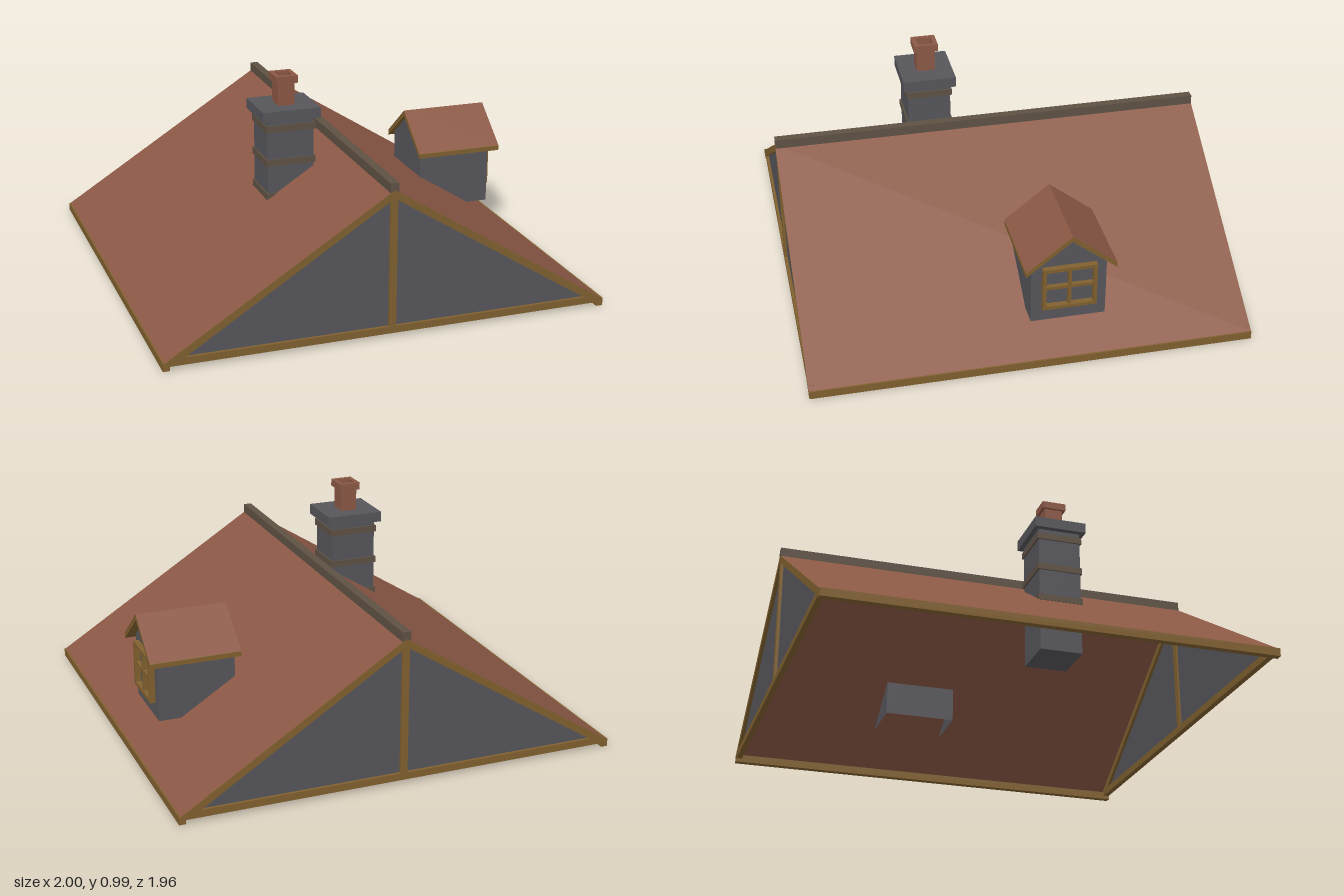
import * as THREE from 'three';

const mat = (name, color, side = THREE.FrontSide) => {
  const m = new THREE.MeshStandardMaterial({ color, side });
  m.name = name;
  return m;
};

export function createModel() {
  const tile = mat('clay tile', 0x8b5845, THREE.DoubleSide);
  const wall = mat('slate grey', 0x56565b, THREE.DoubleSide);
  const wood = mat('timber', 0x80602f);
  const trim = mat('ridge brown', 0x5e5144);

  const model = new THREE.Group();
  model.name = 'houseRoof';

  const add = (parent, name, geometry, material) => {
    const mesh = new THREE.Mesh(geometry, material);
    mesh.name = name;
    parent.add(mesh);
    return mesh;
  };
  // box given by its minimum and maximum corners
  const box = (parent, name, material, [x0, y0, z0], [x1, y1, z1]) => {
    const g = new THREE.BoxGeometry(x1 - x0, y1 - y0, z1 - z0);
    g.translate((x0 + x1) / 2, (y0 + y1) / 2, (z0 + z1) / 2);
    return add(parent, name, g, material);
  };
  const polygon = (points) => new THREE.Shape(points.map(([x, y]) => new THREE.Vector2(x, y)));
  const extrude = (shape, depth) => new THREE.ExtrudeGeometry(shape, { depth, bevelEnabled: false });
  // flat four-cornered sheet
  const sheet = (a, b, c, d) => {
    const g = new THREE.BufferGeometry();
    g.setAttribute('position', new THREE.Float32BufferAttribute([a, b, c, a, c, d].flat(), 3));
    g.computeVertexNormals();
    return g;
  };

  // main roof slopes and eaves beams
  const L = 0.98;
  for (const s of [1, -1]) {
    const side = s > 0 ? 'left' : 'right';
    const slope = sheet([0, 0.662, s * L], [s * 0.992, 0.035, s * L],
      [s * 0.992, 0.035, -s * L], [0, 0.662, -s * L]);
    add(model, side + 'RoofSlope', slope, tile);
    const eaves = new THREE.BoxGeometry(0.03, 0.036, 2 * L);
    eaves.translate(s * 0.983, 0.018, 0);
    add(model, side + 'EavesBeam', eaves, wood);
  }
  box(model, 'ridge', trim, [-0.019, 0.65, -L], [0.019, 0.692, L]);

  // gable ends with timber frame
  const gableShape = polygon([[-0.97, 0.03], [0.97, 0.03], [0, 0.645]]);
  const rakeShape = polygon([[-0.998, 0.03], [-0.985, 0.01], [-0.93, 0.035], [0, 0.625],
    [0.93, 0.035], [0.985, 0.01], [0.998, 0.03], [0, 0.661]]);
  for (const s of [1, -1]) {
    const gable = new THREE.Group();
    gable.name = s > 0 ? 'frontGable' : 'backGable';
    gable.rotation.y = s > 0 ? 0 : Math.PI;
    model.add(gable);
    add(gable, 'gablePanel', new THREE.ShapeGeometry(gableShape), wall).position.z = 0.965;
    add(gable, 'rakeBeams', extrude(rakeShape, 0.03), wood).position.z = 0.951;
    box(gable, 'tieBeam', wood, [-0.97, 0.018, 0.953], [0.97, 0.05, 0.979]);
    box(gable, 'kingPost', wood, [-0.016, 0.04, 0.955], [0.016, 0.64, 0.978]);
  }

  // chimney
  const chimney = new THREE.Group();
  chimney.name = 'chimney';
  chimney.position.set(-0.24, 0, 0.247);
  model.add(chimney);
  const block = (name, material, hx, hz, y0, y1) =>
    box(chimney, name, material, [-hx, y0, -hz], [hx, y1, hz]);
  block('shaft', wall, 0.107, 0.099, 0.2, 0.81);
  for (const y of [0.44, 0.595, 0.75]) block('band', trim, 0.114, 0.106, y, y + 0.03);
  block('cap', wall, 0.133, 0.122, 0.802, 0.85);
  // hollow square pot and rim
  const tube = (name, hx, hz, y0, y1) => {
    const rect = (x, z) => [[-x, -z], [x, -z], [x, z], [-x, z]];
    const shape = polygon(rect(hx, hz));
    shape.holes.push(polygon(rect(0.031, 0.034)));
    const g = extrude(shape, y1 - y0);
    g.rotateX(-Math.PI / 2);
    add(chimney, name, g, tile).position.y = y0;
  };
  tube('pot', 0.038, 0.043, 0.85, 0.955);
  tube('potRim', 0.05, 0.056, 0.952, 0.985);

  // dormer, centred on its own ridge line
  const dormer = new THREE.Group();
  dormer.name = 'dormer';
  dormer.position.z = -0.168;
  model.add(dormer);
  const W = 0.166, x0 = 0.53, x1 = 0.883, low = 0.167, top = 0.46;
  const endShape = polygon([[-W, low], [W, low], [W, top], [0, 0.592], [-W, top]]);
  for (const [name, x] of [['dormerFront', x1], ['dormerBack', x0]]) {
    const g = new THREE.ShapeGeometry(endShape);
    g.rotateY(x === x1 ? Math.PI / 2 : -Math.PI / 2);
    add(dormer, name, g, wall).position.x = x;
  }
  for (const s of [1, -1]) {
    const cheek = [[x0, low, s * W], [x1, low, s * W], [x1, top, s * W], [x0, top, s * W]];
    if (s < 0) cheek.reverse();
    add(dormer, 'dormerCheek', sheet(...cheek), wall);
    const tiles = sheet([0.51, 0.615, 0], [0.51, 0.456, s * 0.2], [0.925, 0.456, s * 0.2], [0.925, 0.615, 0]);
    if (s < 0) tiles.scale(1, 1, 1).index = null;
    // wind the far slope so that it faces upwards
    const geo = s > 0 ? tiles : sheet([0.925, 0.615, 0], [0.925, 0.456, -0.2], [0.51, 0.456, -0.2], [0.51, 0.615, 0]);
    add(dormer, 'dormerTiles', geo, tile);
  }
  const boards = extrude(polygon([[-0.2, 0.431], [0, 0.588], [0.2, 0.431],
    [0.2, 0.453], [0, 0.612], [-0.2, 0.453]]), 0.415);
  boards.rotateY(Math.PI / 2);
  add(dormer, 'dormerRoofBoards', boards, wood).position.x = 0.51;

  // window frame and glazing bars
  const bar = (name, ya, yb, za, zb, depth = 0.91) =>
    box(dormer, name, wood, [0.878, ya, za], [depth, yb, zb]);
  for (const z of [-0.12, 0.104]) bar('windowJamb', 0.237, 0.445, z, z + 0.016);
  for (const y of [0.237, 0.429]) bar('windowRail', y, y + 0.016, -0.12, 0.12);
  bar('windowMullion', 0.24, 0.44, -0.007, 0.007, 0.905);
  bar('windowBar', 0.337, 0.351, -0.11, 0.11, 0.904);

  return model;
}
